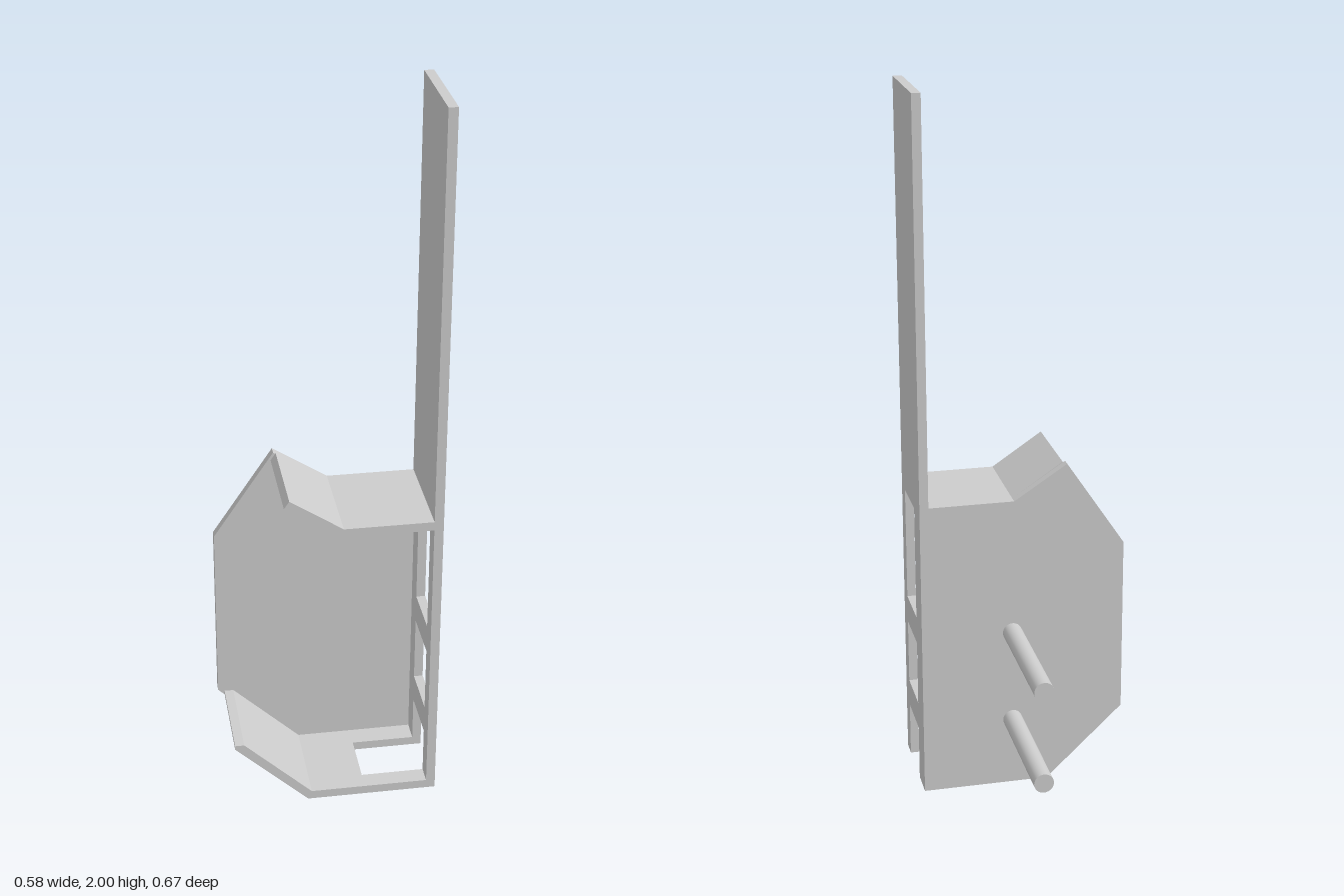
import * as THREE from 'three';

const material = new THREE.MeshStandardMaterial({ color: 0xcccccc, flatShading: true });
const pegMaterial = new THREE.MeshStandardMaterial({ color: 0xcccccc });

const BACK = 0.05, FRONT = 0.335, T = 0.025;
const points = (list) => list.map(([x, y]) => new THREE.Vector2(x, y));

// Extrude an x-y outline between two z values
function slab(name, outline, z0, z1) {
  const geometry = new THREE.ExtrudeGeometry(new THREE.Shape(points(outline)), { depth: z1 - z0, bevelEnabled: false });
  geometry.translate(0, 0, z0);
  const mesh = new THREE.Mesh(geometry, material);
  mesh.name = name;
  return mesh;
}

export function createModel() {
  const group = new THREE.Group();
  group.name = 'wallHolder';

  // Back plate closing the tray
  group.add(slab('backPlate', [
    [0.265, 0], [0.265, 0.87], [0.025, 0.87], [-0.125, 0.968],
    [-0.29, 0.72], [-0.29, 0.21], [-0.07, 0],
  ], BACK, BACK + T));

  // Tall side wall, drawn in z-y, with two windows and a notch open at the bottom
  const z0 = 0.135, z1 = 0.285;
  const wall = new THREE.Shape(points([
    [BACK, 0], [z0, 0], [z0, 0.16], [z1, 0.16], [z1, 0], [FRONT, 0], [FRONT, 2], [BACK, 2],
  ]));
  for (const [y0, y1] of [[0.24, 0.43], [0.51, 0.84]]) {
    wall.holes.push(new THREE.Path(points([[z0, y0], [z0, y1], [z1, y1], [z1, y0]])));
  }
  const wallGeometry = new THREE.ExtrudeGeometry(wall, { depth: T, bevelEnabled: false });
  wallGeometry.rotateY(-Math.PI / 2).translate(0.29, 0, 0);
  const sideWall = new THREE.Mesh(wallGeometry, material);
  sideWall.name = 'sideWall';
  group.add(sideWall);

  // Top shelf with its raised lip
  group.add(slab('topFlange', [
    [0.265, 0.845], [0.265, 0.87], [0.025, 0.87], [-0.118, 0.966], [-0.132, 0.945], [0.017, 0.845],
  ], BACK + T, FRONT));

  // Floor with sloping lip, and two rails either side of the floor opening
  const notchEnd = 0.09;
  group.add(slab('bottomFlange', [
    [notchEnd, 0], [notchEnd, T], [-0.06, T], [-0.247, 0.205], [-0.272, 0.205], [-0.272, 0.193], [-0.07, 0],
  ], BACK + T, FRONT));
  const rail = [[notchEnd, 0], [0.265, 0], [0.265, T], [notchEnd, T]];
  group.add(slab('floorRailBack', rail, BACK + T, z0));
  group.add(slab('floorRailFront', rail, z1, FRONT));

  // Mounting pegs behind the plate
  for (const [name, y] of [['lowerPeg', 0.202], ['upperPeg', 0.475]]) {
    const geometry = new THREE.CylinderGeometry(0.0275, 0.0275, 0.385, 32);
    geometry.rotateX(Math.PI / 2);
    const peg = new THREE.Mesh(geometry, pegMaterial);
    peg.name = name;
    peg.position.set(0.031, y, -0.1425);
    group.add(peg);
  }
  return group;
}
